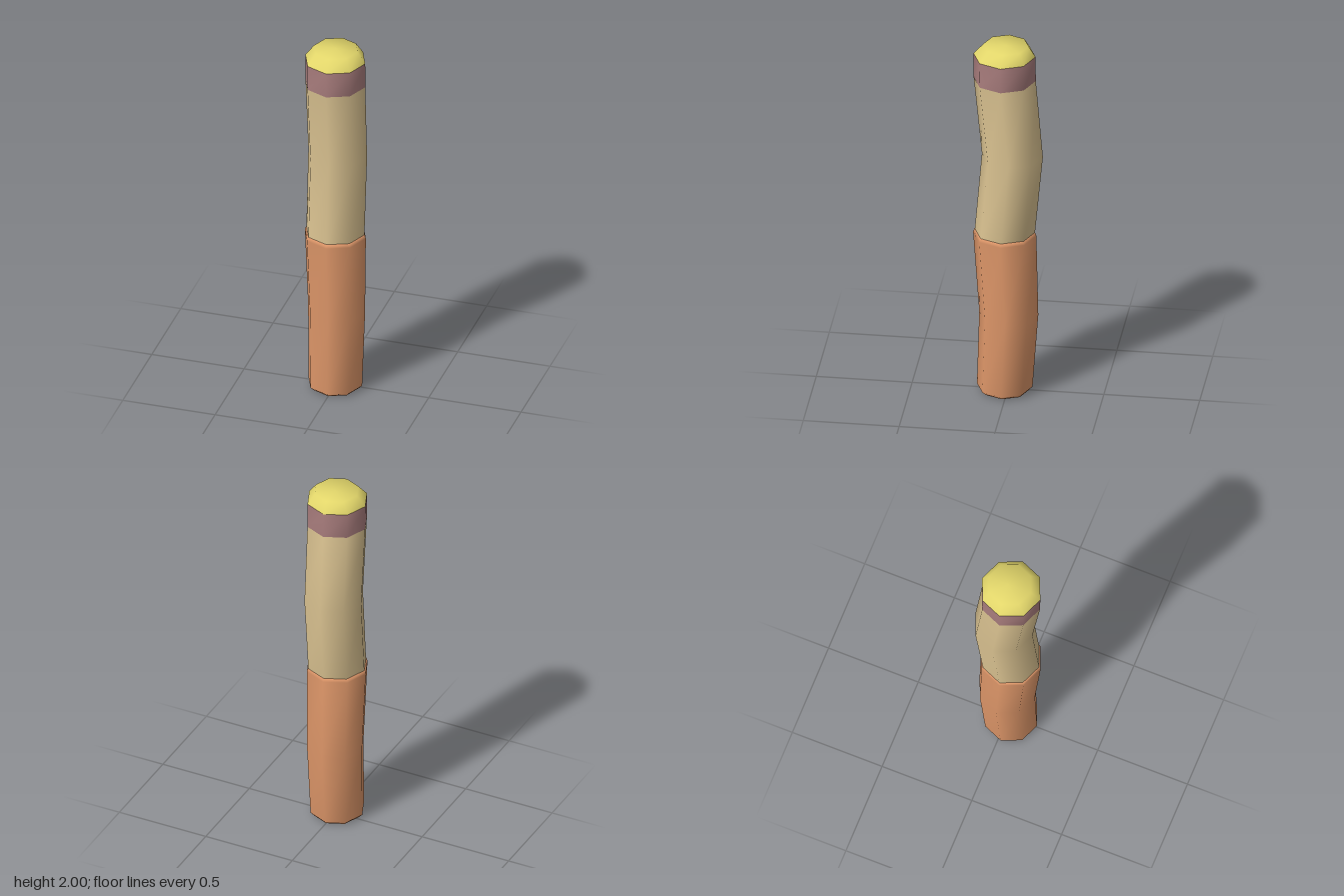
import * as THREE from 'three';

const SIDES = 8;

// Skin a bent octagonal tube through rings of [y, radius, zCentre]; radius 0 closes an end.
function bentTube(rings) {
  const pos = [], index = [];
  for (const [y, r, z] of rings) {
    for (let i = 0; i < SIDES; i++) {
      const a = (i / SIDES) * Math.PI * 2;
      pos.push(Math.sin(a) * r, y, z + Math.cos(a) * r);
    }
  }
  for (let k = 0; k < rings.length - 1; k++) {
    for (let i = 0; i < SIDES; i++) {
      const j = (i + 1) % SIDES;
      const a = k * SIDES + i, b = k * SIDES + j;
      const c = a + SIDES, d = b + SIDES;
      if (rings[k][1] > 0) index.push(a, b, d);
      if (rings[k + 1][1] > 0) index.push(a, d, c);
    }
  }
  const g = new THREE.BufferGeometry();
  g.setAttribute('position', new THREE.Float32BufferAttribute(pos, 3));
  g.setIndex(index);
  g.computeVertexNormals();
  return g;
}

export function createModel() {
  const group = new THREE.Group();
  const add = (name, colourName, color, rings) => {
    const material = new THREE.MeshStandardMaterial({ color });
    material.name = colourName;
    const mesh = new THREE.Mesh(bentTube(rings), material);
    mesh.name = name;
    group.add(mesh);
  };

  // Sleeve around the lower half, with softened rims
  add('lowerSleeve', 'orange', 0xe0986a, [
    [0, 0, 0.015], [0, 0.125, 0.015], [0.02, 0.145, 0.017],
    [0.44, 0.154, -0.004], [0.9, 0.165, 0.017], [0.92, 0.158, 0.018], [0.92, 0.14, 0.018],
  ]);
  // Bent shaft
  add('shaft', 'tan', 0xdcc492, [
    [0.9, 0.157, 0.018], [1.36, 0.159, -0.023], [1.8, 0.162, 0.017],
  ]);
  // Coloured band under the tip
  add('band', 'mauve', 0xaa7e7e, [
    [1.8, 0.162, 0.017], [1.94, 0.162, 0.018],
  ]);
  // Blunt rounded tip
  add('tip', 'yellow', 0xe2d66a, [
    [1.94, 0.162, 0.018], [1.998, 0.118, 0.01], [2, 0, 0.005],
  ]);
  return group;
}
